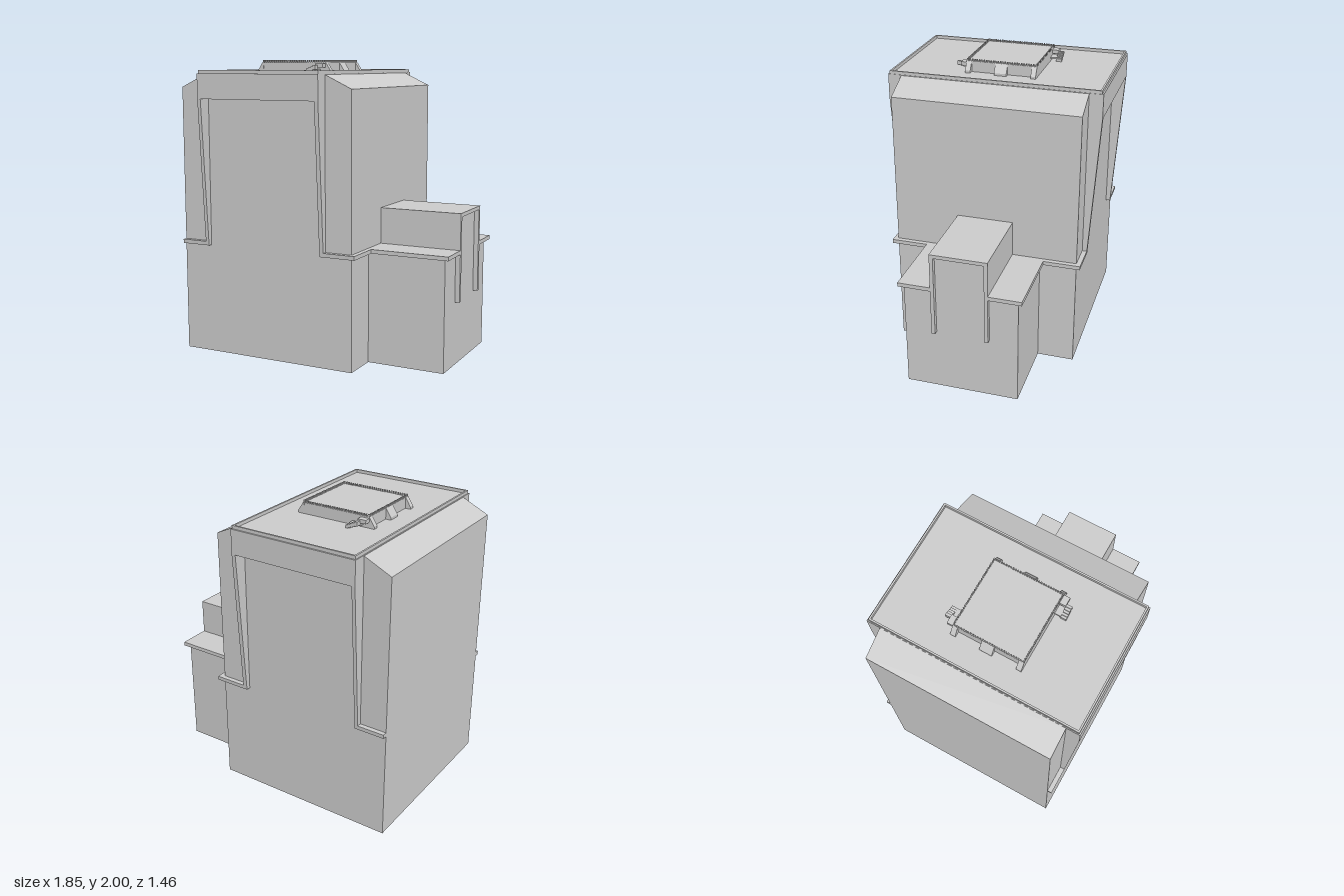
import * as THREE from 'three';

const mat = new THREE.MeshStandardMaterial({ color: 0xcccccc, flatShading: true, side: THREE.DoubleSide });

function add(parent, name, geo) {
  const mesh = new THREE.Mesh(geo, mat);
  mesh.name = name;
  parent.add(mesh);
  return mesh;
}

// box given by its limits on each axis
function box(parent, name, x0, x1, y0, y1, z0, z1) {
  const geo = new THREE.BoxGeometry(x1 - x0, y1 - y0, z1 - z0);
  geo.translate((x0 + x1) / 2, (y0 + y1) / 2, (z0 + z1) / 2);
  return add(parent, name, geo);
}

const outline = (pts) => new THREE.Shape(pts.map(([x, y]) => new THREE.Vector2(x, y)));

// outline in x, y extruded from z0 to z1
function prism(pts, z0, z1) {
  const geo = new THREE.ExtrudeGeometry(outline(pts), { depth: z1 - z0, bevelEnabled: false });
  return geo.translate(0, 0, z0);
}

// front and back faces lean outwards with height
function lean(geo) {
  const p = geo.attributes.position;
  for (let i = 0; i < p.count; i++) {
    const z = 0.667 + (0.73 - 0.667) * (p.getY(i) - 0.75) / (1.745 - 0.75);
    p.setZ(i, Math.sign(p.getZ(i)) * z);
  }
  geo.computeVertexNormals();
  return geo;
}

export function createModel() {
  const model = new THREE.Group();
  model.name = 'building';

  // main block with sloped shoulders
  add(model, 'mainBlock', prism([
    [-0.925, 0], [0.355, 0], [0.355, 1.82], [0.168, 1.908], [-0.738, 1.908], [-0.925, 1.82],
  ], -0.637, 0.637));

  // leaning portal frame whose legs turn into ledges, running front to back
  box(model, 'portalBeam', -0.738, 0.168, 1.745, 1.912, -0.73, 0.73);
  add(model, 'rightPortalLeg', lean(prism([
    [-0.925, 0.75], [-0.714, 0.75], [-0.714, 1.745], [-0.738, 1.745], [-0.738, 0.777], [-0.925, 0.777],
  ], -1, 1)));
  add(model, 'leftPortalLeg', lean(prism([
    [0.14, 0.75], [0.388, 0.75], [0.388, 0.777], [0.168, 0.777], [0.168, 1.745], [0.14, 1.745],
  ], -1, 1)));

  // thin roof parapet
  const rim = outline([[-0.732, -0.72], [0.165, -0.72], [0.165, 0.72], [-0.732, 0.72]]);
  rim.holes.push(new THREE.Path([[-0.72, -0.708], [-0.72, 0.708], [0.153, 0.708], [0.153, -0.708]]
    .map(([x, y]) => new THREE.Vector2(x, y))));
  const rimGeo = new THREE.ExtrudeGeometry(rim, { depth: 0.024, bevelEnabled: false });
  add(model, 'parapet', rimGeo.rotateX(-Math.PI / 2).translate(0, 1.91, 0));

  // side annex with ledges and a raised hood
  box(model, 'annex', 0.3, 0.89, 0, 0.765, -0.385, 0.385);
  box(model, 'annexUpper', 0.3, 0.89, 0.7, 1.01, -0.178, 0.178);
  for (const s of [-1, 1]) {
    const [a, b] = [0.18 * s, 0.416 * s].sort((m, n) => m - n);
    box(model, 'annexLedge', 0.3, 0.922, 0.75, 0.777, a, b);
  }
  const hood = prism([
    [-0.193, 0.43], [-0.168, 0.43], [-0.168, 0.995], [0.168, 0.995],
    [0.168, 0.43], [0.193, 0.43], [0.193, 1.02], [-0.193, 1.02],
  ], 0.34, 0.922);
  add(model, 'annexHood', hood.rotateY(Math.PI / 2));

  // roof platform, built about its own centre
  const platform = new THREE.Group();
  platform.name = 'roofPlatform';
  platform.position.set(-0.283, 1.91, 0);
  model.add(platform);
  const hx = 0.248, hz = 0.243;
  box(platform, 'deck', -hx, hx, 0, 0.075, -hz, hz);

  for (const turn of [0, Math.PI]) {
    const side = new THREE.Group();
    side.name = 'platformSide';
    side.rotation.y = turn;
    platform.add(side);

    // sloped buttresses
    for (const [z, w] of [[-0.226, 0.035], [0, 0.085], [0.226, 0.035]]) {
      add(side, 'buttress', prism([[hx - 0.01, 0], [hx + 0.037, 0], [hx + 0.037, 0.018],
        [hx, 0.075], [hx - 0.01, 0.075]], z - w / 2, z + w / 2));
    }

    // landing and short stair
    box(side, 'landing', hx - 0.06, hx, 0.04, 0.065, hz, 0.285);
    for (let i = 0; i < 5; i++) {
      const x = hx - 0.058 - i * 0.016;
      box(side, 'step', x, x + 0.018, 0.028 - i * 0.006, 0.056 - i * 0.008, 0.283, 0.322);
    }
    box(side, 'stairBeam', hx - 0.12, hx - 0.04, 0.02, 0.03, hz, 0.285);

    // toothed railing
    const n = 30;
    for (let i = 0; i < n; i++) {
      const t = (i + 0.5) / n * 2 - 1;
      box(side, 'railTooth', hx - 0.008, hx, 0.07, 0.09, t * hz - 0.004, t * hz + 0.004);
      box(side, 'railTooth', t * hx - 0.004, t * hx + 0.004, 0.07, 0.09, hz - 0.008, hz);
    }
  }
  return model;
}
